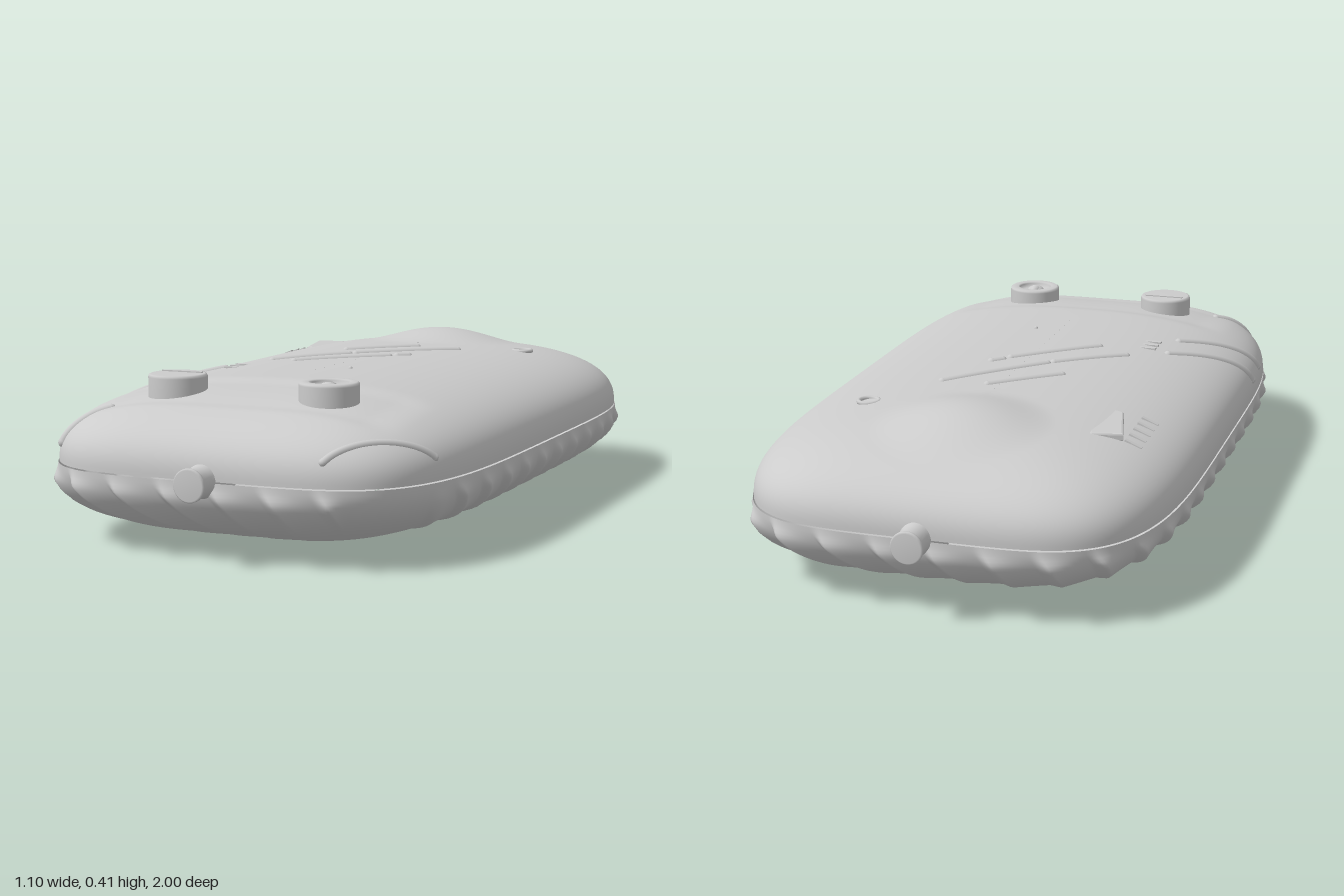
import * as THREE from 'three';

const A = 0.54, B = 0.94, N = 4.5;   // half width, half length, squareness of the outline
const SEAM = 0.2, TOP_H = 0.187, TOP_P = 2.5, LOW_H = 0.194, LOW_P = 2.3;
const mat = new THREE.MeshStandardMaterial({ color: 0xcccccc, side: THREE.DoubleSide });

function add(parent, name, geometry, x = 0, y = 0, z = 0) {
  const mesh = new THREE.Mesh(geometry, mat);
  mesh.name = name;
  mesh.position.set(x, y, z);
  parent.add(mesh);
  return mesh;
}

const bump = (r) => (r >= 1 ? 0 : (1 - r * r) ** 2);
const smooth = THREE.MathUtils.smoothstep;

// Point on the rounded-rectangle outline pulled inwards by d
function outline(theta, d) {
  const c = Math.cos(theta), s = Math.sin(theta);
  const r = (Math.abs(c) ** N + Math.abs(s) ** N) ** (-1 / N);
  return [(A - d) * r * c, (B - d) * r * s];
}

// Dome at the back and shallow recess around the buttons
function relief(x, z) {
  const dome = 0.034 * bump(Math.hypot(x, z + 0.6) / 0.23);
  const inX = 1 - smooth(Math.abs(x), 0.32, 0.42);
  const inZ = smooth(z, 0.49, 0.56) * (1 - smooth(z, 0.74, 0.8));
  return dome - 0.008 * inX * inZ;
}

// Height of the upper shell at any x, z
function topY(x, z) {
  let lo = 0, hi = A - 1e-4;
  for (let k = 0; k < 30; k++) {
    const d = (lo + hi) / 2;
    const f = (Math.abs(x) / (A - d)) ** N + (Math.abs(z) / (B - d)) ** N;
    if (f < 1) lo = d; else hi = d;
  }
  const h = Math.max(0, 1 - (1 - lo / A) ** TOP_P) ** (1 / TOP_P);
  return SEAM + TOP_H * h + relief(x, z);
}

// Closed grid of rings running from the seam to the middle
function shell(rings, segs, point, flip) {
  const pos = [], idx = [];
  for (let i = 0; i <= rings; i++)
    for (let j = 0; j < segs; j++) pos.push(...point(i / rings, j, segs));
  for (let i = 0; i < rings; i++)
    for (let j = 0; j < segs; j++) {
      const k = (j + 1) % segs;
      const a = i * segs + j, b = a + segs, c = i * segs + k, d = c + segs;
      if (flip) idx.push(a, c, b, b, c, d);
      else idx.push(a, b, c, b, d, c);
    }
  const g = new THREE.BufferGeometry();
  g.setAttribute('position', new THREE.Float32BufferAttribute(pos, 3));
  g.setIndex(idx);
  g.computeVertexNormals();
  return g;
}

function upperShell() {
  return shell(64, 240, (u, j, segs) => {
    const phi = u * Math.PI / 2;
    const d = A * (1 - Math.max(0, Math.cos(phi)) ** (2 / TOP_P));
    const [x, z] = outline(j / segs * Math.PI * 2, Math.min(d, A - 1e-4));
    return [x, SEAM + TOP_H * Math.sin(phi) ** (2 / TOP_P) + relief(x, z), z];
  }, false);
}

// Lower shell with slanted, overlapping ribs round its wall
function lowerShell() {
  const SEGS = 720, RIBS = 40, dist = [0];
  for (let j = 1; j <= SEGS; j++) {
    const [x0, z0] = outline((j - 1) / SEGS * Math.PI * 2, 0);
    const [x1, z1] = outline(j / SEGS * Math.PI * 2, 0);
    dist.push(dist[j - 1] + Math.hypot(x1 - x0, z1 - z0));
  }
  return shell(40, SEGS, (u, j) => {
    const phi = u * Math.PI / 2, theta = j / SEGS * Math.PI * 2;
    const phase = dist[j] / dist[SEGS] * RIBS + u * 1.6;
    const f = phase - Math.floor(phase);
    const saw = f < 0.82 ? (f / 0.82) ** 2 : (1 - f) / 0.18;
    const [ox, oz] = outline(theta, 0);
    const smoothCorner = smooth(Math.hypot(ox - 0.44, oz - 0.83), 0.1, 0.17);
    const fade = smooth(u, 0, 0.12) * (1 - smooth(u, 0.35, 0.75)) * smoothCorner;
    const d = A * (1 - Math.max(0, Math.cos(phi)) ** (2 / LOW_P));
    const [x, z] = outline(theta, Math.min(d, A - 1e-4) - 0.002 - 0.018 * saw * fade);
    return [x, SEAM - 0.003 - LOW_H * Math.sin(phi) ** (2 / LOW_P), z];
  }, true);
}

// Raised rounded bar lying on the upper shell
function bar(parent, name, [x1, z1, x2, z2], r = 0.013) {
  const pts = [];
  for (let i = 0; i <= 16; i++) {
    const x = x1 + (x2 - x1) * i / 16, z = z1 + (z2 - z1) * i / 16;
    pts.push(new THREE.Vector3(x, topY(x, z) - r * 0.45, z));
  }
  const group = new THREE.Group();
  group.name = name;
  parent.add(group);
  add(group, name + 'Strip', new THREE.TubeGeometry(new THREE.CatmullRomCurve3(pts), 32, r, 10));
  for (const p of [pts[0], pts[16]]) add(group, name + 'End', new THREE.SphereGeometry(r, 10, 8), p.x, p.y, p.z);
}

const lathe = (pts, n = 40) => new THREE.LatheGeometry(pts.map(([r, y]) => new THREE.Vector2(r, y)), n);

export function createModel() {
  const model = new THREE.Group();
  model.name = 'flatPebbleCase';
  add(model, 'upperShell', upperShell());
  add(model, 'lowerShell', lowerShell());

  // Stub connectors at both ends
  for (const s of [1, -1]) {
    const stub = add(model, s > 0 ? 'frontConnector' : 'backConnector', lathe([
      [0.07, 0], [0.052, 0.015], [0.042, 0.03], [0.037, 0.05], [0.036, 0.085],
      [0.04, 0.09], [0.04, 0.096], [0.036, 0.1], [0, 0.1]], 28), 0, 0.198, s * 0.9);
    stub.rotation.x = s * Math.PI / 2;
  }

  // Left button: open cup with a pointed knob
  const cup = new THREE.Group();
  cup.name = 'knobButton';
  cup.position.set(0.195, 0.345, 0.655);
  model.add(cup);
  add(cup, 'cup', lathe([[0.073, 0], [0.073, 0.054], [0.072, 0.059], [0.067, 0.062],
    [0.05, 0.062], [0.046, 0.058], [0.045, 0.045], [0, 0.045]]));
  add(cup, 'knob', new THREE.SphereGeometry(0.026, 20, 12), 0, 0.044, 0.008).scale.set(1, 0.65, 1);
  const tip = add(cup, 'knobTip', new THREE.ConeGeometry(0.018, 0.055, 16), 0, 0.046, -0.027);
  tip.rotation.x = -Math.PI / 2;

  // Right button: plain disc with a cross bar
  const disc = new THREE.Group();
  disc.name = 'discButton';
  disc.position.set(-0.213, 0.345, 0.655);
  model.add(disc);
  add(disc, 'disc', lathe([[0.073, 0], [0.073, 0.054], [0.071, 0.06], [0.066, 0.062], [0, 0.062]]));
  add(disc, 'crossBar', new THREE.BoxGeometry(0.11, 0.004, 0.008), 0, 0.063, -0.022);

  // Diagonal bars on the top, and short ones at the edges
  const bars = [
    [0.03, -0.31, -0.125, -0.165], [0.155, -0.305, -0.06, -0.08], [-0.075, -0.065, -0.235, 0.085],
    [0.088, -0.1, 0.065, -0.077], [0.048, -0.055, -0.148, 0.13]];
  bars.forEach((b) => bar(model, 'topBar', b));
  const edges = [[-0.33, 0.185, -0.528, 0.385], [-0.33, 0.32, -0.52, 0.51], [-0.35, 0.745, -0.437, 0.827]];
  edges.forEach((b) => bar(model, 'edgeBar', b));
  bar(model, 'cornerArch', [0.487, 0.715, 0.295, 0.91], 0.01);

  // Raised pointer slide beside its tick scale
  const s = new THREE.Shape();
  s.moveTo(-0.036, 0.1).lineTo(0.036, 0.1).lineTo(0.036, -0.065).lineTo(0, -0.1).lineTo(-0.036, -0.065).closePath();
  const slideGeo = new THREE.ExtrudeGeometry(s, { depth: 0.012, bevelSize: 0.005, bevelThickness: 0.005, bevelSegments: 2 });
  const slide = add(model, 'pointerSlide', slideGeo, -0.322, topY(-0.322, -0.45) - 0.016, -0.445);
  slide.rotation.set(-Math.PI / 2, 0.24, 0, 'ZYX');

  // Small surface marks
  for (let i = 0; i < 5; i++) {
    const z = -0.53 + i * 0.043;
    const tick = add(model, 'scaleTick', new THREE.BoxGeometry(0.045, 0.006, 0.012), -0.41, topY(-0.41, z), z);
    tick.rotation.z = 0.4;
  }
  for (let i = 0; i < 3; i++)
    add(model, 'smallMark', new THREE.BoxGeometry(0.05, 0.005, 0.014), -0.27, topY(-0.27, 0.2), 0.185 + i * 0.033);
  const ring = add(model, 'ringMark', new THREE.TorusGeometry(0.026, 0.006, 8, 28), 0.29, topY(0.29, -0.48), -0.48);
  ring.rotation.x = Math.PI / 2;
  add(model, 'pinMark', new THREE.SphereGeometry(0.006, 10, 8), 0.07, topY(0.07, 0.25), 0.25);
  return model;
}
